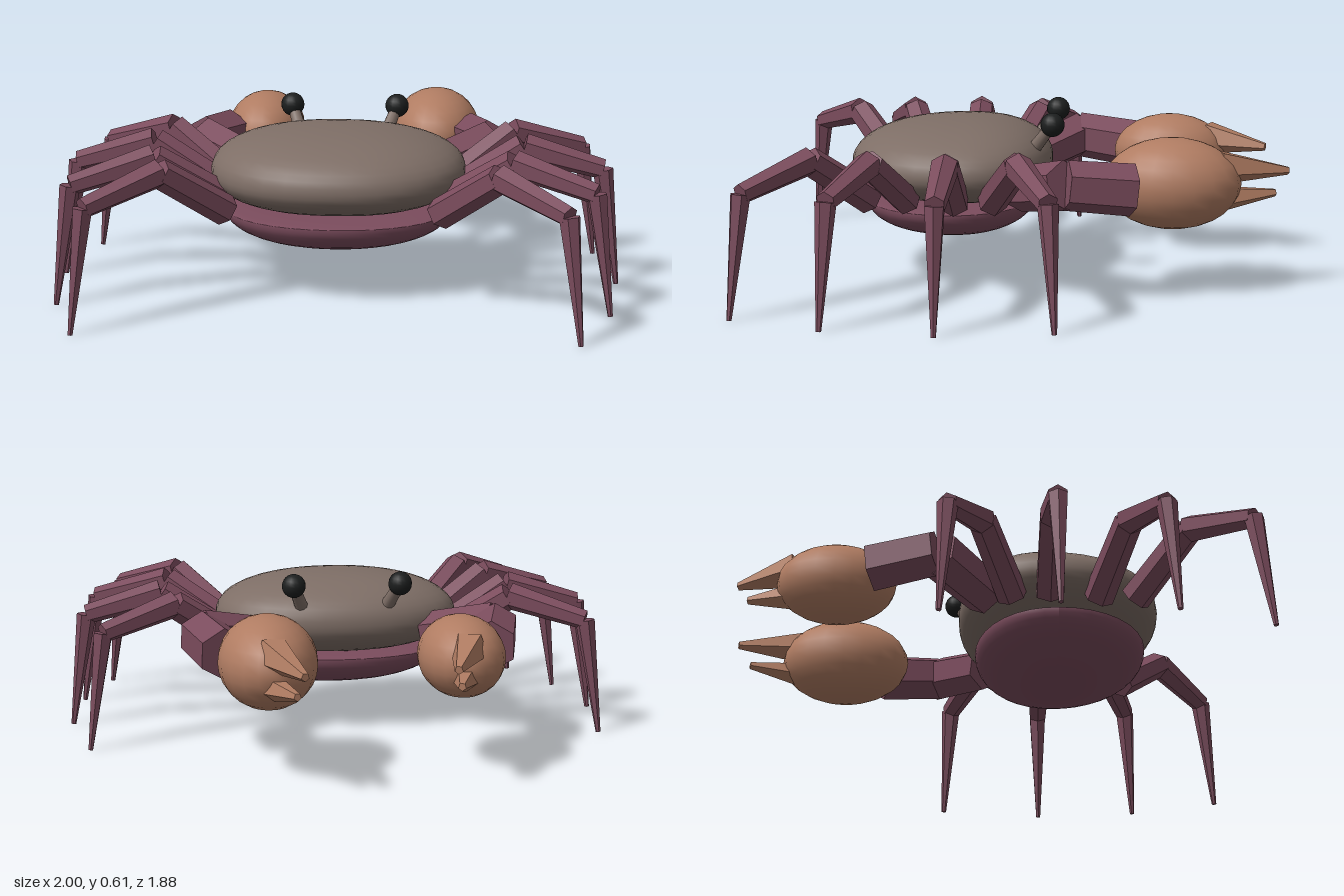
import * as THREE from 'three';

const mat = (name, color, flatShading = false) => {
  const m = new THREE.MeshStandardMaterial({ color, flatShading });
  m.name = name;
  return m;
};

export function createModel() {
  const shell = mat('shell brown', 0x7e6e66);
  const plum = mat('limb plum', 0x7b4c5d, true);
  const bellyPlum = mat('belly plum', 0x7b4c5d);
  const clay = mat('claw clay', 0xb07c62);
  const fingerClay = mat('finger clay', 0xb07c62, true);
  const black = mat('eye black', 0x1c1e1e);

  const crab = new THREE.Group();
  crab.name = 'crab';
  const V = (x, y, z) => new THREE.Vector3(x, y, z);
  const add = (parent, name, geometry, material) => {
    const mesh = new THREE.Mesh(geometry, material);
    mesh.name = name;
    parent.add(mesh);
    return mesh;
  };

  // Tapered prism running from a to b
  const limb = (parent, name, a, b, ra, rb, sides, material) => {
    const dir = b.clone().sub(a);
    const geo = new THREE.CylinderGeometry(rb, ra, dir.length(), sides);
    const mesh = add(parent, name, geo, material);
    // Keep the prism's local z as close to world up as possible
    const y = dir.clone().normalize();
    const x = V(0, 1, 0).cross(y).normalize();
    const z = x.clone().cross(y);
    mesh.quaternion.setFromRotationMatrix(new THREE.Matrix4().makeBasis(x, y, z));
    mesh.position.copy(a).add(b).multiplyScalar(0.5);
    return mesh;
  };

  // Rounded body with separate radii above/below and front/back
  const blob = (name, material, c, rx, up, down, front, back, power) => {
    const geo = new THREE.SphereGeometry(1, 36, 24);
    const p = geo.attributes.position;
    for (let i = 0; i < p.count; i++) {
      const v = V().fromBufferAttribute(p, i);
      const n = Math.pow(
        Math.pow(Math.abs(v.x), power) + Math.pow(Math.abs(v.y), power) + Math.pow(Math.abs(v.z), power),
        -1 / power);
      v.multiplyScalar(n);
      p.setXYZ(i, v.x * rx, v.y * (v.y > 0 ? up : down), v.z * (v.z > 0 ? back : front));
    }
    geo.computeVertexNormals();
    add(crab, name, geo, material).position.copy(c);
  };
  blob('carapace', shell, V(0, 0.41, 0.21), 0.45, 0.155, 0.135, 0.31, 0.42, 2.25);
  blob('belly', bellyPlum, V(0, 0.275, 0.25), 0.4, 0.015, 0.125, 0.29, 0.33, 2.1);

  // Walking legs: hip x, hip z, tip x, tip z
  const legs = [
    [0.38, 0.09, 0.93, -0.16],
    [0.4, 0.22, 0.99, 0.225],
    [0.37, 0.39, 0.945, 0.605],
    [0.365, 0.52, 0.83, 0.925],
  ];
  for (const side of [1, -1]) {
    const label = side > 0 ? 'left' : 'right';
    legs.forEach(([hx, hz, tx, tz], i) => {
      const leg = new THREE.Group();
      leg.name = `${label}Leg${i + 1}`;
      const at = (t, y) => V(side * (hx + (tx - hx) * t), y, hz + (tz - hz) * t);
      const hip = at(0, 0.325), knee = at(0.43, 0.495), ankle = at(0.9, 0.42), tip = at(1, 0.002);
      limb(leg, 'thigh', hip, knee, 0.055, 0.05, 6, plum);
      limb(leg, 'shin', knee, ankle, 0.05, 0.036, 6, plum);
      limb(leg, 'foot', ankle, tip, 0.036, 0.009, 6, plum);
      crab.add(leg);
    });

    // Claw arm; the left claw is the larger one
    const arm = new THREE.Group();
    arm.name = `${label}ClawArm`;
    const elbow = V(side * 0.53, 0.415, -0.175);
    limb(arm, 'upperArm', V(side * 0.32, 0.36, 0.0), elbow, 0.08, 0.087, 6, plum);
    limb(arm, 'forearm', elbow, V(side * 0.467, 0.39, -0.4), 0.087, 0.092, 6, plum);

    const big = side > 0;
    const c = big ? V(0.33, 0.39, -0.535) : V(-0.335, 0.39, -0.53);
    const k = big ? 1 : 0.88;
    const palm = add(arm, 'palm', new THREE.SphereGeometry(1, 20, 14), clay);
    palm.scale.set(0.17 * k, 0.16 * k, 0.24 * k);
    palm.position.copy(c);

    // Pincer fingers
    const from = (x, y, z) => c.clone().add(V(x, y, z).multiplyScalar(k));
    const tipX = big ? -0.08 : 0.09;
    limb(arm, 'upperFinger', from(0, 0.06, -0.16), from(tipX, 0.035, -0.405), 0.065, 0.015, 5, fingerClay);
    limb(arm, 'lowerFinger', from(0.01, -0.05, -0.16), from(tipX * 0.75, -0.04, -0.36), 0.05, 0.014, 5, fingerClay);
    crab.add(arm);

    // Stalked eye
    const eye = new THREE.Group();
    eye.name = `${label}Eye`;
    const ball = V(side * 0.193, 0.568, -0.11);
    limb(eye, 'stalk', V(side * 0.15, 0.46, -0.03), ball, 0.026, 0.02, 10, shell);
    add(eye, 'eyeball', new THREE.SphereGeometry(0.043, 16, 12), black).position.copy(ball);
    crab.add(eye);
  }
  return crab;
}
